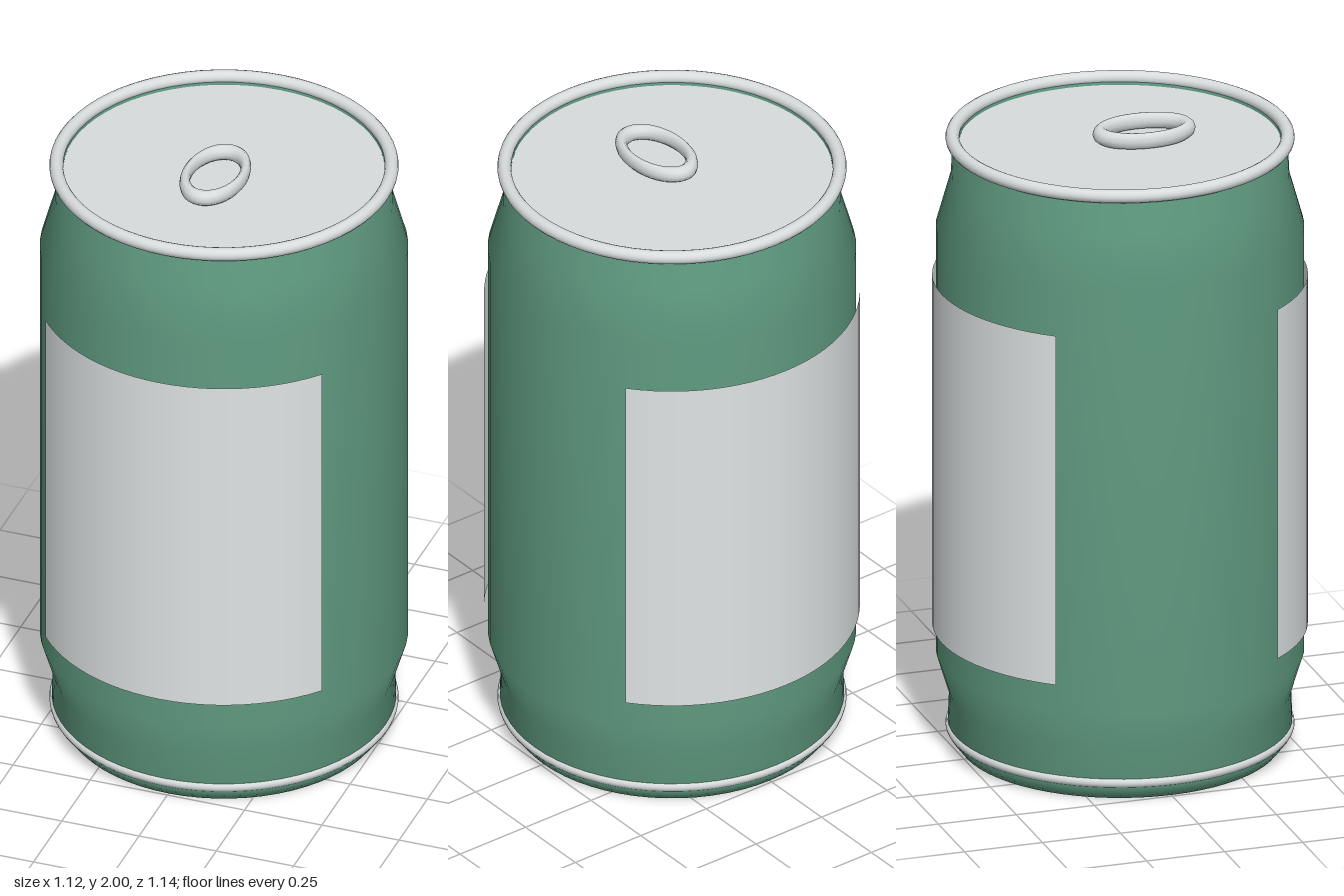
import * as THREE from 'three';

export function createModel() {
  const can = new THREE.Group();
  can.name = 'drinkCan';

  const material = (name, color, side = THREE.FrontSide) => {
    const m = new THREE.MeshStandardMaterial({ color, side });
    m.name = name;
    return m;
  };
  const green = material('greenPaint', 0x5f9a80, THREE.DoubleSide);
  const metal = material('bareMetal', 0xd8dcdd);
  const paper = material('labelGrey', 0xe0e4e5, THREE.DoubleSide);

  const add = (name, geometry, mat, y = 0, z = 0) => {
    const mesh = new THREE.Mesh(geometry, mat);
    mesh.name = name;
    mesh.position.set(0, y, z);
    can.add(mesh);
    return mesh;
  };

  // Painted shell: closed base, tapered foot, straight wall, tapered neck and inner lip
  const profile = [
    [0, 0], [0.49, 0], [0.525, 0.045], [0.52, 0.17], [0.56, 0.3],
    [0.56, 1.68], [0.515, 1.84], [0.51, 1.95], [0.491, 1.965], [0.491, 1.94],
  ].map(([r, y]) => new THREE.Vector2(r, y));
  add('body', new THREE.LatheGeometry(profile, 64), green);

  // Rolled rims
  const ring = (name, radius, tube, y) =>
    add(name, new THREE.TorusGeometry(radius, tube, 14, 64).rotateX(Math.PI / 2), metal, y);
  ring('topRim', 0.51, 0.021, 1.964);
  ring('bottomRim', 0.514, 0.017, 0.06);

  // Recessed lid
  add('lid', new THREE.CylinderGeometry(0.49, 0.49, 0.02, 64), metal, 1.936);

  // Oval pull ring resting on the lid
  const tab = new THREE.TorusGeometry(0.085, 0.015, 10, 36).rotateX(Math.PI / 2);
  tab.scale(1, 1.7, 1.62);
  add('pullTab', tab, metal, 1.9745, 0.077);

  // Curved label panels on the front and back
  const half = 0.9;
  for (const [name, centre] of [['frontLabel', 0], ['backLabel', Math.PI]]) {
    add(name, new THREE.CylinderGeometry(0.571, 0.571, 1.135, 24, 1, true, centre - half, 2 * half), paper, 0.9525);
  }

  return can;
}
